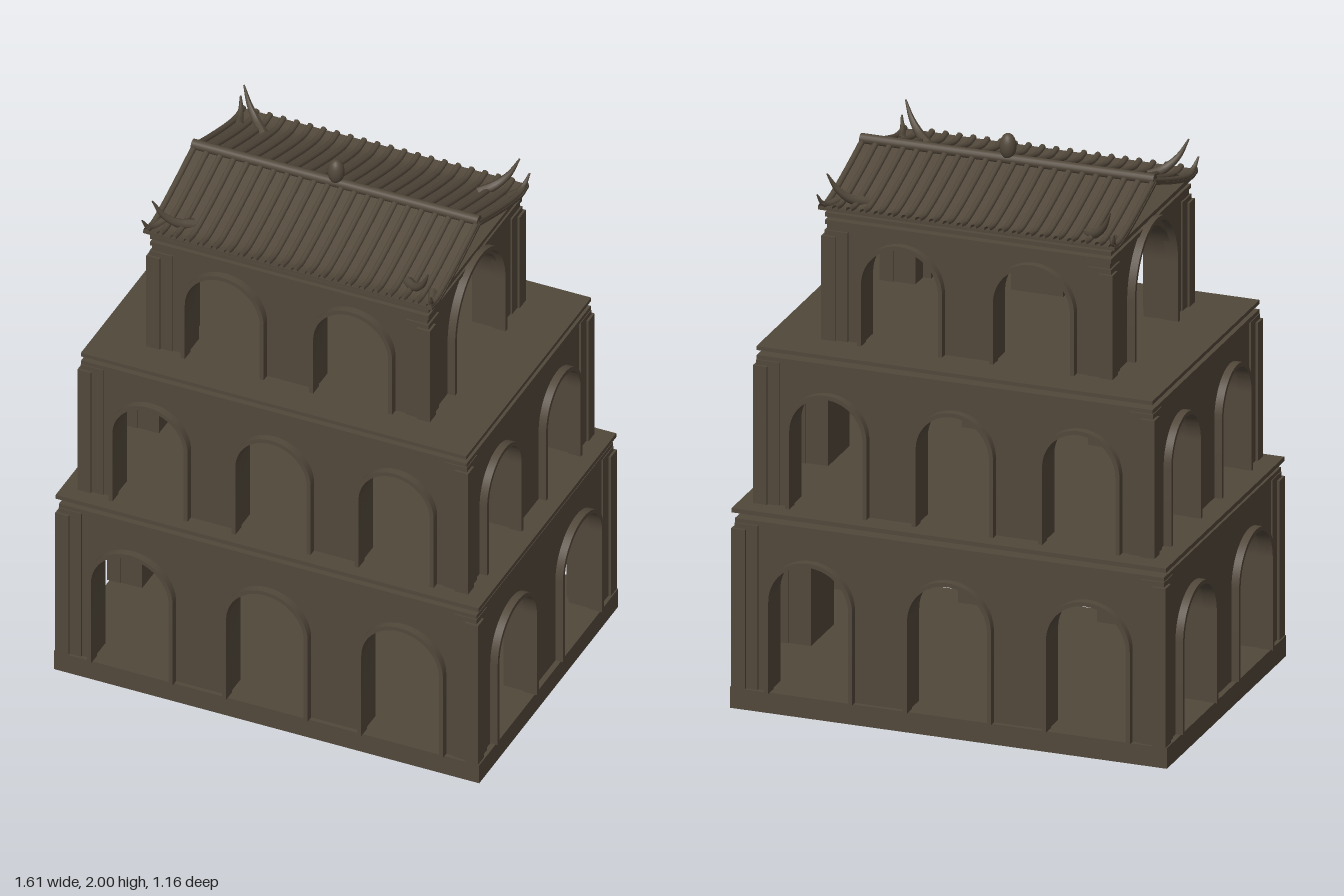
import * as THREE from 'three';
import { toCreasedNormals } from 'three/addons/utils/BufferGeometryUtils.js';

export function createModel() {
  const stone = new THREE.MeshStandardMaterial({ color: 0x52483b, side: THREE.DoubleSide });
  stone.name = 'weathered brown stone';
  const model = new THREE.Group();
  model.name = 'tieredTower';

  function add(parent, geometry, name, x = 0, y = 0, z = 0) {
    const mesh = new THREE.Mesh(geometry, stone);
    mesh.name = name;
    mesh.position.set(x, y, z);
    parent.add(mesh);
    return mesh;
  }
  function box(parent, name, w, y0, y1, d, x = 0, z = 0) {
    return add(parent, new THREE.BoxGeometry(w, y1 - y0, d), name, x, (y0 + y1) / 2, z);
  }
  function extrude(shape, depth) {
    const g = new THREE.ExtrudeGeometry(shape, { depth, bevelEnabled: false, curveSegments: 24 });
    return toCreasedNormals(g, 0.6);
  }

  // Wall with arches open at the floor; outer face lies at local z = 0
  function archedWall(halfWidth, y0, y1, arches, thickness) {
    const s = new THREE.Shape();
    s.moveTo(-halfWidth, y0);
    for (const a of arches) {
      s.lineTo(a.c - a.r, y0);
      s.lineTo(a.c - a.r, a.spring);
      s.absellipse(a.c, a.spring, a.r, a.top - a.spring, Math.PI, 0, true);
      s.lineTo(a.c + a.r, y0);
    }
    s.lineTo(halfWidth, y0);
    s.lineTo(halfWidth, y1);
    s.lineTo(-halfWidth, y1);
    s.closePath();
    return extrude(s, thickness).translate(0, 0, -thickness);
  }

  // Thin raised surround following one arch
  function archFrame(a, y0, depth) {
    const ro = a.r + 0.01, ri = a.r - 0.005;
    const s = new THREE.Shape();
    s.moveTo(a.c - ro, y0);
    s.lineTo(a.c - ro, a.spring);
    s.absellipse(a.c, a.spring, ro, (a.frameTop ?? a.top + 0.01) - a.spring, Math.PI, 0, true);
    s.lineTo(a.c + ro, y0);
    s.lineTo(a.c + ri, y0);
    s.lineTo(a.c + ri, a.spring);
    s.absellipse(a.c, a.spring, ri, (a.frameTop ?? a.top + 0.01) - 0.015 - a.spring, 0, Math.PI, false);
    s.lineTo(a.c - ri, y0);
    s.closePath();
    return extrude(s, depth + 0.02).translate(0, 0, -0.02);
  }

  const row = (centres, r, spring, top, frameTop) =>
    centres.map(c => ({ c, r, spring, top, frameTop }));
  const levels = [
    { name: 'lower', x: 0.775, z: 0.55, y0: 0.075, y1: 0.69, post: 0.655,
      front: row([-0.505, 0, 0.505], 0.15, 0.41, 0.56),
      side: row([-0.265, 0.265], 0.157, 0.41, 0.562), slab: [0.79, 0.56, 0.711, 0.727] },
    { name: 'middle', x: 0.715, z: 0.5, y0: 0.737, y1: 1.275, post: 1.24,
      front: row([-0.46, 0, 0.46], 0.138, 1.02, 1.16),
      side: row([-0.24, 0.24], 0.138, 1.02, 1.163), slab: [0.72, 0.508, 1.294, 1.308] },
    { name: 'upper', x: 0.515, z: 0.375, y0: 1.316, y1: 1.75, post: 1.695,
      front: row([-0.24, 0.24], 0.145, 1.54, 1.688),
      side: row([0], 0.203, 1.53, 1.722, 1.765), slab: [0.52, 0.38, 1.762, 1.777] },
  ];

  // Base plinth
  box(model, 'base', 1.59, 0, 0.075, 1.13);

  for (const L of levels) {
    const level = new THREE.Group();
    level.name = L.name + 'Level';
    model.add(level);
    const t = 0.1;
    for (const k of [0, 1, 2, 3]) {
      const front = k % 2 === 0;
      const wall = new THREE.Group();
      wall.name = ['front', 'left', 'back', 'right'][k] + 'Wall';
      wall.rotation.y = k * Math.PI / 2;
      level.add(wall);
      const arches = front ? L.front : L.side;
      const out = front ? L.z : L.x;
      const half = front ? L.x : L.z - t;
      add(wall, archedWall(half, L.y0, L.y1 - 0.015, arches, t), 'archedWall', 0, 0, out);
      for (const a of arches) add(wall, archFrame(a, L.y0, 0.028), 'archSurround', 0, 0, out);
    }
    // Stepped corner pilasters
    for (const sx of [-1, 1]) for (const sz of [-1, 1]) {
      box(level, 'cornerPost', 0.05, L.y0, L.post, 0.05, sx * (L.x - 0.01), sz * (L.z - 0.01));
      box(level, 'cornerPilaster', 0.085, L.y0, L.post + 0.018, 0.085,
        sx * (L.x - 0.036), sz * (L.z - 0.036));
    }
    // Cornice and floating floor slab
    box(level, 'cornice', 2 * L.x + 0.01, L.y1 - 0.015, L.y1, 2 * L.z + 0.01);
    const [sx, sz, a, b] = L.slab;
    box(level, 'floorSlab', sx * 2, a, b, sz * 2);
  }

  // Curved gable roof, built from one sagging slope mirrored front to back
  const roof = new THREE.Group();
  roof.name = 'roof';
  model.add(roof);
  const slope = new THREE.CatmullRomCurve3([
    [0, 1.897], [0.14, 1.848], [0.27, 1.808], [0.345, 1.793], [0.395, 1.8],
  ].map(([z, y]) => new THREE.Vector3(0, y, z)));
  const pts = slope.getPoints(16);
  const profile = new THREE.Shape();
  pts.forEach((p, i) => (i ? profile.lineTo(p.z, p.y) : profile.moveTo(p.z, p.y)));
  [...pts].reverse().forEach(p => profile.lineTo(p.z, p.y - 0.01));
  profile.closePath();

  // Tube narrowing toward its far end
  function taperedTube(points, radius, tip) {
    const curve = new THREE.CatmullRomCurve3(points.map(p => new THREE.Vector3(...p)));
    const n = 12, m = 8;
    const g = new THREE.TubeGeometry(curve, n, radius, m);
    const pos = g.attributes.position, v = new THREE.Vector3();
    for (let i = 0; i <= n; i++) {
      const c = curve.getPointAt(i / n);
      const k = 1 + (tip - 1) * (i / n) ** 1.5;
      for (let j = 0; j <= m; j++) {
        const id = i * (m + 1) + j;
        v.fromBufferAttribute(pos, id).sub(c).multiplyScalar(k).add(c);
        pos.setXYZ(id, v.x, v.y, v.z);
      }
    }
    g.computeVertexNormals();
    return g;
  }

  const ribGeometry = new THREE.TubeGeometry(slope, 16, 0.011, 8);
  for (const turn of [0, Math.PI]) {
    const side = new THREE.Group();
    side.name = turn ? 'backSlope' : 'frontSlope';
    side.rotation.y = turn;
    roof.add(side);
    const sheet = extrude(profile, 1.08);
    sheet.rotateY(-Math.PI / 2).translate(0.54, 0, 0);
    add(side, sheet, 'roofSheet');
    for (let i = 0; i < 22; i++) add(side, ribGeometry, 'tileRib', -0.528 + i * 1.056 / 21, 0.003, 0);
    // Upturned corner horns
    for (const s of [-1, 1]) {
      add(side, taperedTube([[s * 0.4, 1.797, 0.285], [s * 0.445, 1.815, 0.325],
        [s * 0.485, 1.855, 0.352], [s * 0.515, 1.915, 0.372]], 0.019, 0.15), 'cornerHorn');
      add(side, taperedTube([[s * 0.5, 1.797, 0.3], [s * 0.52, 1.795, 0.35],
        [s * 0.53, 1.81, 0.38], [s * 0.54, 1.845, 0.4]], 0.015, 0.2), 'eaveHorn');
    }
  }

  // Ridge beam and finial
  const ridge = new THREE.CylinderGeometry(0.018, 0.018, 1.07, 16).rotateZ(Math.PI / 2);
  add(roof, ridge, 'ridge', 0, 1.907, 0);
  const finial = add(roof, new THREE.SphereGeometry(0.029, 20, 14), 'finial', 0, 1.953, 0);
  finial.scale.y = 1.62;

  return model;
}
